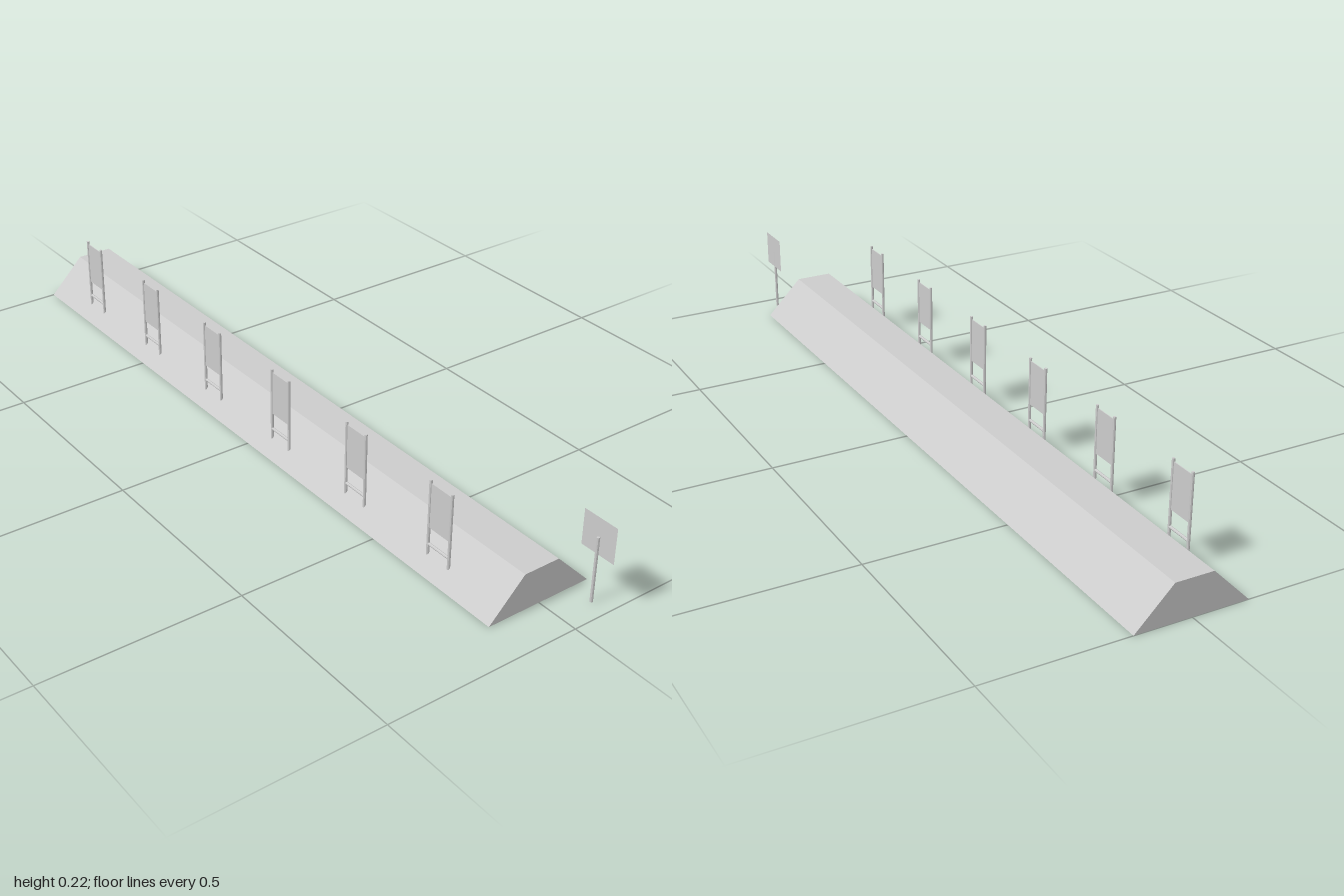
import * as THREE from 'three';

const material = new THREE.MeshStandardMaterial({ color: 0xcccccc, flatShading: true });
const thinMaterial = new THREE.MeshStandardMaterial({ color: 0xcccccc, side: THREE.DoubleSide });

function addPart(parent, name, geometry, x, y, z, mat = material) {
  const mesh = new THREE.Mesh(geometry, mat);
  mesh.name = name;
  mesh.position.set(x, y, z);
  parent.add(mesh);
  return mesh;
}

// Upright round post between two heights
function addPost(parent, name, radius, bottom, top, x, z) {
  const geometry = new THREE.CylinderGeometry(radius, radius, top - bottom, 8);
  addPart(parent, name, geometry, x, (bottom + top) / 2, z);
}

// Two posts, a panel between them and a low crossbar
function createTargetFrame() {
  const frame = new THREE.Group();
  for (const side of [-1, 1]) {
    addPost(frame, 'framePost', 0.0038, 0.028, 0.225, side * 0.035, 0);
  }
  addPart(frame, 'framePanel', new THREE.BoxGeometry(0.066, 0.115, 0.002), 0, 0.16, 0);
  const bar = addPart(frame, 'frameCrossbar', new THREE.CylinderGeometry(0.0036, 0.0036, 0.07, 8), 0, 0.06, 0);
  bar.rotation.z = Math.PI / 2;
  return frame;
}

export function createModel() {
  const model = new THREE.Group();
  model.name = 'embankmentWithFrames';

  // Long embankment: trapezoid section extruded along x
  const section = new THREE.Shape([
    new THREE.Vector2(-0.142, 0),
    new THREE.Vector2(0.142, 0),
    new THREE.Vector2(0.048, 0.095),
    new THREE.Vector2(-0.048, 0.095),
  ]);
  const berm = new THREE.ExtrudeGeometry(section, { depth: 1.89, bevelEnabled: false });
  berm.rotateY(Math.PI / 2);
  addPart(model, 'embankment', berm, -1, 0, 0);

  // Row of frames standing on the front slope
  for (let i = 0; i < 6; i++) {
    const frame = createTargetFrame();
    frame.name = 'targetFrame' + (i + 1);
    frame.position.set(-0.795 + i * 0.2956, 0, 0.108);
    model.add(frame);
  }

  // Sign beside the left end
  const sign = new THREE.Group();
  sign.name = 'sign';
  addPost(sign, 'signPost', 0.0038, 0, 0.167, 0.952, -0.0932);
  addPart(sign, 'signPanel', new THREE.PlaneGeometry(0.095, 0.091), 0.952, 0.168, -0.096, thinMaterial);
  model.add(sign);

  return model;
}
